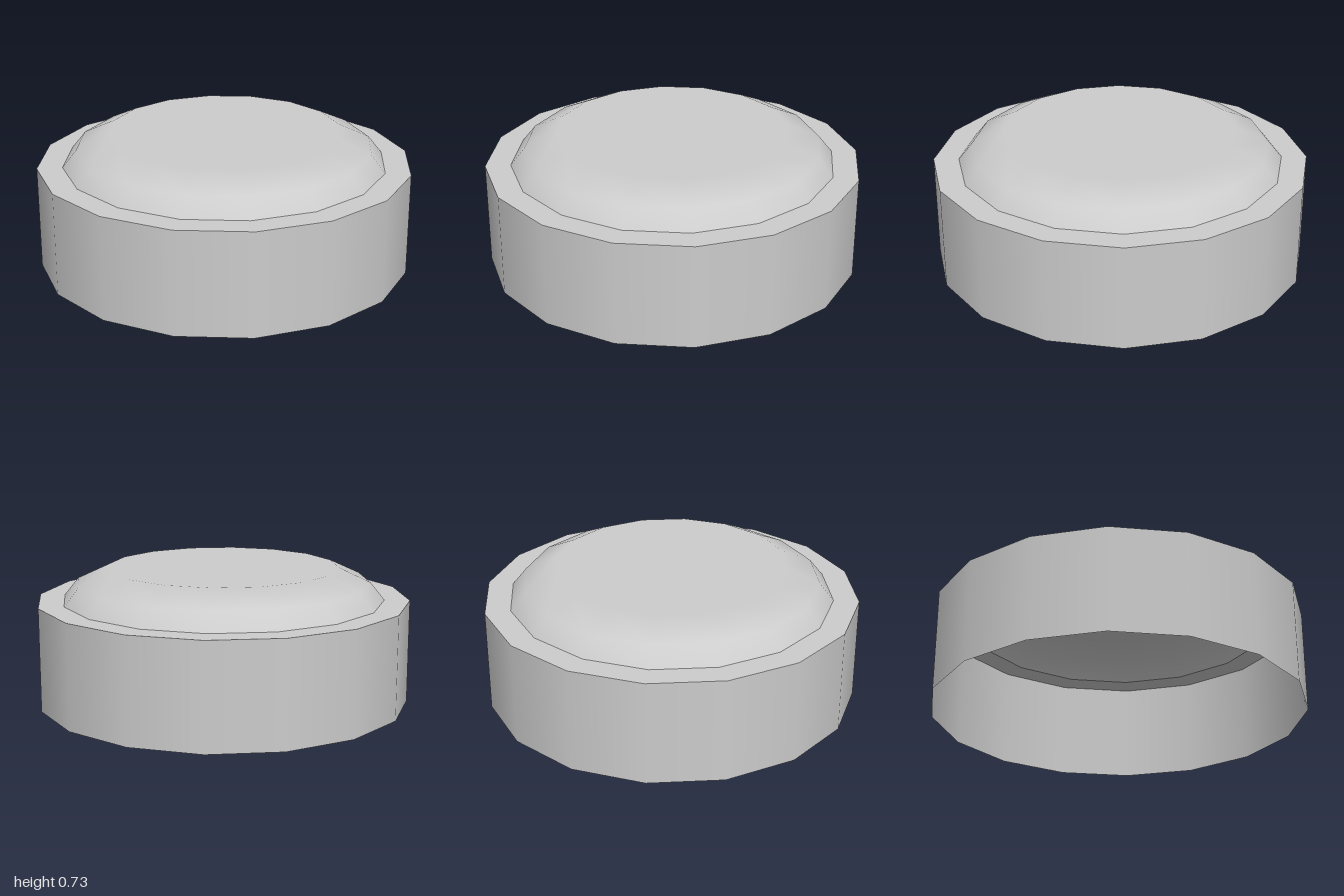
import * as THREE from 'three';

const SIDES = 16;
const RIM_Y = 0.555, TOP_Y = 0.727;
const OUTER = 1, DOME = 0.865, SHOULDER = 0.79, TOP = 0.62;

export function createModel() {
  const group = new THREE.Group();
  const grey = new THREE.MeshStandardMaterial({ color: 0xcccccc, side: THREE.DoubleSide });
  grey.name = 'light grey';

  const add = (name, geometry, y = 0) => {
    const mesh = new THREE.Mesh(geometry, grey);
    mesh.name = name;
    mesh.position.y = y;
    group.add(mesh);
  };

  // Open, thin outer wall with smooth shading
  add('outerWall', new THREE.CylinderGeometry(OUTER, OUTER, RIM_Y, SIDES, 1, true), RIM_Y / 2);

  // Flat ledge between the wall and the dome
  add('ledge', new THREE.RingGeometry(DOME, OUTER, SIDES).rotateX(-Math.PI / 2), RIM_Y);

  // Bevelled shoulder, its shading blending into the flat top
  const profile = [[DOME, RIM_Y], [SHOULDER, 0.648], [TOP, TOP_Y]].map(p => new THREE.Vector2(...p));
  const shoulder = new THREE.LatheGeometry(profile, SIDES);
  const normal = shoulder.attributes.normal;
  for (let i = profile.length - 1; i < normal.count; i += profile.length) normal.setXYZ(i, 0, 1, 0);
  add('domeShoulder', shoulder);

  // Flat top
  add('domeTop', new THREE.CircleGeometry(TOP, SIDES).rotateX(-Math.PI / 2), TOP_Y);

  return group;
}
